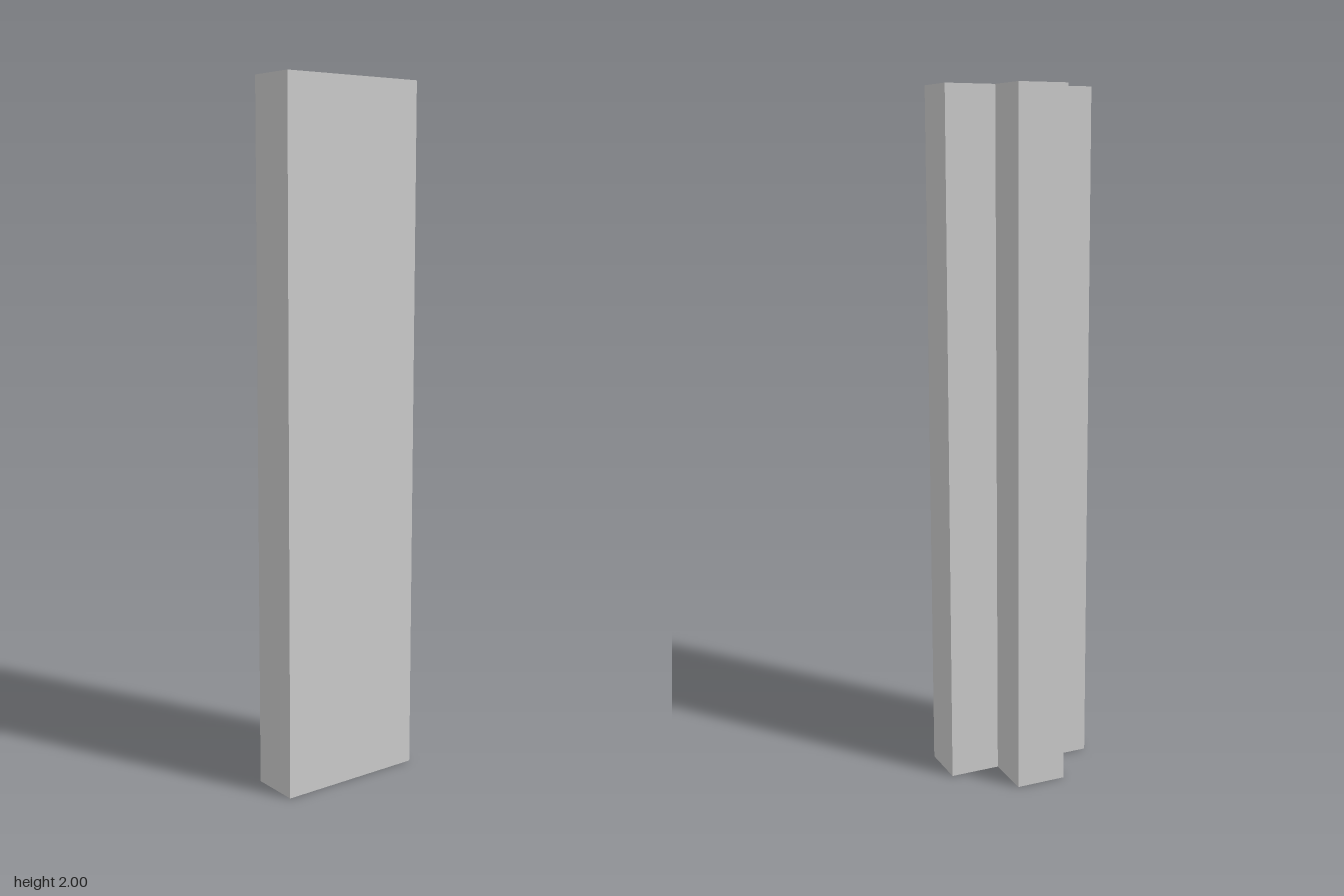
import * as THREE from 'three';

const HEIGHT = 2;
const FLANGE = 0.222; // half width of the front flange
const WEB = 0.074; // half width of the rear web
const DEPTH = 0.148; // half depth of the whole section

export function createModel() {
  const group = new THREE.Group();
  group.name = 'teeColumn';

  // T-shaped section: right half, then mirrored (shape y is the model's -z)
  const half = [[FLANGE, -DEPTH], [FLANGE, 0], [WEB, 0], [WEB, DEPTH]];
  const mirrored = half.map(([x, y]) => [-x, y]).reverse();
  const section = new THREE.Shape([...half, ...mirrored].map(([x, y]) => new THREE.Vector2(x, y)));

  // Section extruded upright from the ground
  const geometry = new THREE.ExtrudeGeometry(section, { depth: HEIGHT, bevelEnabled: false });
  geometry.rotateX(-Math.PI / 2);

  const column = new THREE.Mesh(geometry, new THREE.MeshStandardMaterial({ color: 0xcccccc }));
  column.name = 'column';
  group.add(column);
  return group;
}
